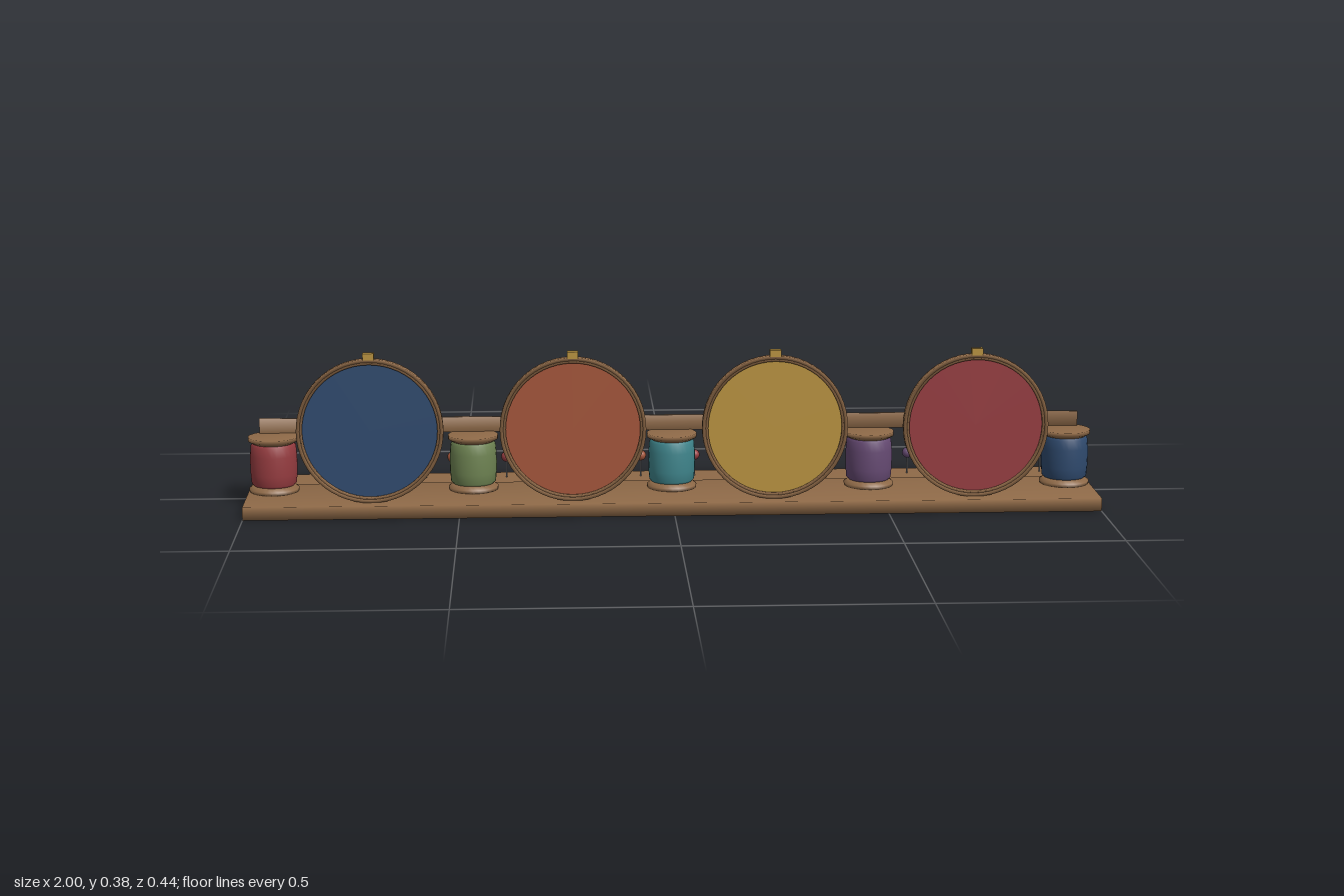
import * as THREE from 'three';
import { mergeVertices } from 'three/addons/utils/BufferGeometryUtils.js';

const paint = (name, color) => {
  const m = new THREE.MeshStandardMaterial({ color });
  m.name = name;
  return m;
};

export function createModel() {
  const model = new THREE.Group();
  model.name = 'sewingShelf';

  const wood = paint('wood', 0x8f6a48);
  const blue = paint('blue', 0x2f4a6e);
  const red = paint('red', 0x963c40);
  const purple = paint('purple', 0x664a73);
  const gold = paint('gold', 0xb8923f);
  const teal = paint('teal', 0x3f858c);
  const green = paint('green', 0x6e8352);
  const orange = paint('orange', 0xa3553a);
  const steel = paint('steel', 0x85858a);

  function add(parent, name, geometry, material, x = 0, y = 0, z = 0) {
    const mesh = new THREE.Mesh(geometry, material);
    mesh.name = name;
    mesh.position.set(x, y, z);
    parent.add(mesh);
    return mesh;
  }

  // Box with shared corners, so the shading rolls softly over its edges
  function softBox(w, h, d) {
    const g = new THREE.BoxGeometry(w, h, d);
    g.deleteAttribute('normal');
    g.deleteAttribute('uv');
    const welded = mergeVertices(g);
    welded.computeVertexNormals();
    return welded;
  }

  const lathe = (points, segments) =>
    new THREE.LatheGeometry(points.map(([r, y]) => new THREE.Vector2(r, y)), segments);

  // Boards and rail
  add(model, 'baseBoard', softBox(2, 0.031, 0.235), wood, 0, 0.0155, 0.1025);
  add(model, 'pinBoard', softBox(2, 0.008, 0.238), wood, 0, 0.004, -0.1);
  add(model, 'rail', softBox(1.95, 0.036, 0.01), wood, 0, 0.18, 0.015);

  // Thread spools
  const lowerFlange = lathe([[0, 0.031], [0.058, 0.031], [0.059, 0.039], [0.048, 0.047], [0, 0.047]], 28);
  const upperFlange = lathe([[0, 0.147], [0.047, 0.147], [0.059, 0.154], [0.059, 0.163], [0, 0.163]], 28);
  const thread = lathe([[0.047, 0.046], [0.053, 0.052], [0.055, 0.075], [0.0555, 0.097],
    [0.055, 0.12], [0.053, 0.142], [0.047, 0.148]], 28);
  [red, green, teal, purple, blue].forEach((colour, i) => {
    const spool = new THREE.Group();
    spool.name = 'spool';
    spool.position.set(-0.94 + i * 0.47, 0, 0.053);
    add(spool, 'lowerFlange', lowerFlange, wood);
    add(spool, 'upperFlange', upperFlange, wood);
    add(spool, 'thread', thread, colour);
    model.add(spool);
  });

  // Standing hoops with stretched fabric; the inner ring sits slightly further back
  const ring = (inner, outer, back, front) =>
    lathe([[inner, back], [outer, back], [outer, front], [inner, front], [inner, back]], 56).rotateX(Math.PI / 2);
  const outerRing = ring(0.162, 0.17, -0.006, 0.01);
  const innerRing = ring(0.156, 0.164, -0.01, 0.008);
  const fabric = new THREE.CylinderGeometry(0.158, 0.158, 0.006, 56).rotateX(Math.PI / 2);
  const clasp = new THREE.BoxGeometry(0.026, 0.016, 0.017);
  [blue, orange, gold, red].forEach((colour, i) => {
    const hoop = new THREE.Group();
    hoop.name = 'hoop';
    hoop.position.set(-0.705 + i * 0.47, 0.2, 0.175);
    add(hoop, 'outerRing', outerRing, wood);
    add(hoop, 'innerRing', innerRing, wood);
    add(hoop, 'fabric', fabric, colour);
    add(hoop, 'clasp', clasp, gold, 0, 0.175, 0.002);
    model.add(hoop);
  });

  // Row of pins along the back
  const stem = new THREE.CylinderGeometry(0.002, 0.002, 0.046, 8);
  const head = new THREE.SphereGeometry(0.013, 16, 12);
  const pinColours = [blue, red, purple, gold, teal, green, orange];
  for (let i = 0; i < 29; i++) {
    const pin = new THREE.Group();
    pin.name = 'pin';
    pin.position.set(-0.92 + i * (1.84 / 28), 0, -0.165);
    add(pin, 'stem', stem, steel, 0, 0.03, 0);
    add(pin, 'head', head, pinColours[i % 7], 0, 0.06, 0);
    model.add(pin);
  }

  return model;
}
